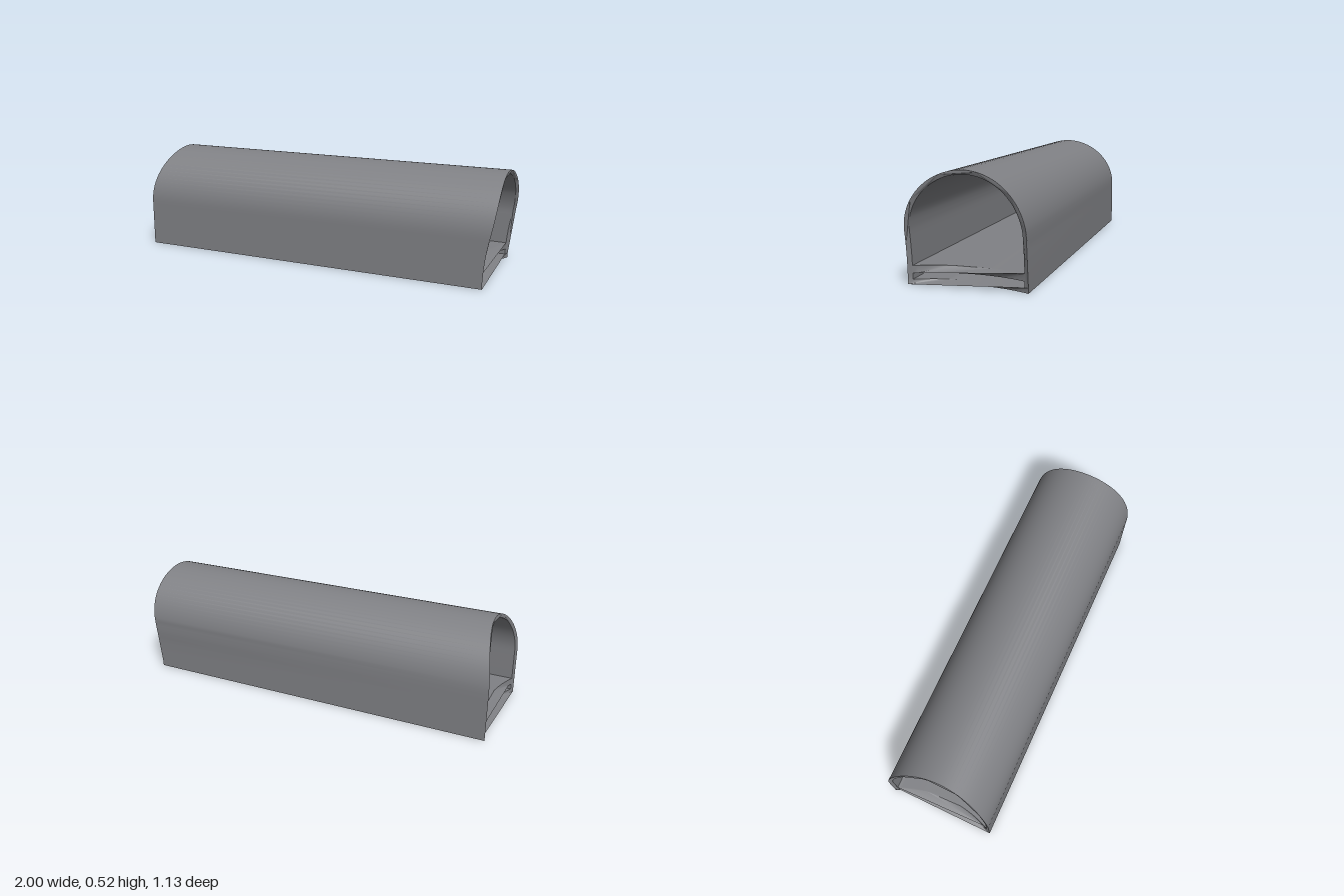
import * as THREE from 'three';
import { toCreasedNormals } from 'three/addons/utils/BufferGeometryUtils.js';

const HALF = 0.28;      // outer half width and arch radius
const WALL = 0.02;      // wall thickness
const SPRING = 0.245;   // height where the arch starts
const YAW = 0.32;       // turn of the corridor about y

// Position of each end along the corridor, for height y and offset w
const nearDomeDepth = (y, w) => Math.sqrt(0.36 - w * w - 0.45 * y * y);
const domeEnd = (y, w) => 0.924 + nearDomeDepth(0, HALF) - nearDomeDepth(y, w);
const roundDepth = (w) => Math.sqrt(0.65 * 0.65 - w * w);
const roundEnd = (y, w) => -0.96 - roundDepth(HALF) + roundDepth(w);

// Points of a straight edge, leaving out its last point
function edge(x0, y0, x1, y1, n) {
  return Array.from({ length: n }, (_, i) => new THREE.Vector2(
    THREE.MathUtils.lerp(x0, x1, i / n), THREE.MathUtils.lerp(y0, y1, i / n)));
}

// Arched outline with a flat base and upright legs
function archOutline(radius, base) {
  const arch = Array.from({ length: 40 }, (_, i) => {
    const a = (i / 40) * Math.PI;
    return new THREE.Vector2(radius * Math.cos(a), SPRING + radius * Math.sin(a));
  });
  return [
    ...edge(-radius, base, radius, base, 24),
    ...edge(radius, base, radius, SPRING, 10),
    ...arch,
    ...edge(-radius, SPRING, -radius, base, 10),
  ];
}

// Extrude a section and fit both ends to the curved cuts
function corridorPart(shape) {
  const geometry = new THREE.ExtrudeGeometry(shape, { depth: 1, steps: 1, bevelEnabled: false });
  geometry.rotateY(Math.PI / 2);
  const p = geometry.attributes.position;
  for (let i = 0; i < p.count; i++) {
    const y = p.getY(i), w = p.getZ(i);
    p.setX(i, p.getX(i) > 0.5 ? domeEnd(y, w) : roundEnd(y, w));
  }
  return toCreasedNormals(geometry, 0.6);
}

export function createModel() {
  const group = new THREE.Group();
  group.name = 'corridor';
  const grey = new THREE.MeshStandardMaterial({ color: 0x808185 });
  grey.name = 'grey metal';

  const add = (name, shape) => {
    const mesh = new THREE.Mesh(corridorPart(shape), grey);
    mesh.name = name;
    mesh.rotation.y = YAW;
    group.add(mesh);
  };

  // Arched shell with a thin base
  const shell = new THREE.Shape(archOutline(HALF, 0));
  shell.holes.push(new THREE.Path(archOutline(HALF - WALL, 0.022).reverse()));
  add('archedShell', shell);

  // Raised floor, leaving a slot above the base
  const inner = HALF - WALL;
  add('floorSlab', new THREE.Shape([
    ...edge(-inner, 0.05, inner, 0.05, 24),
    ...edge(inner, 0.05, inner, 0.085, 1),
    ...edge(inner, 0.085, -inner, 0.085, 24),
    ...edge(-inner, 0.085, -inner, 0.05, 1),
  ]));

  return group;
}
